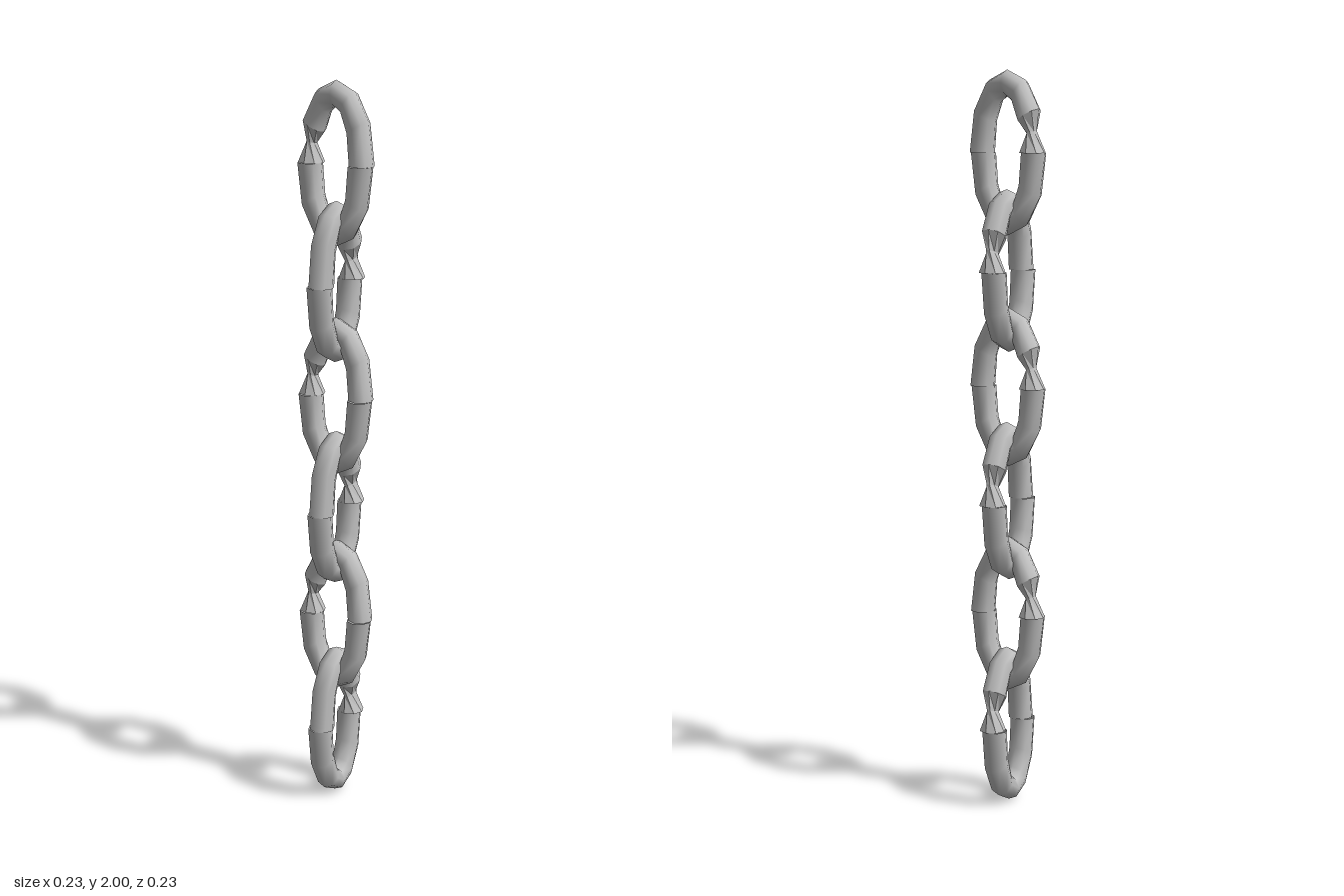
import * as THREE from 'three';

const A = 0.077, B = 0.183, R = 0.0345;  // oval centreline half-axes, bar radius
const SEG = 12, SIDES = 8, LINKS = 6;
const STEP = Math.PI * 2 / SEG;
const LOWER = 0.003, UPPER = -0.003;     // the two halves sit slightly out of line

// One cross-section of the bar at angle t on the oval, turned by twist and squashed by (sn, sz)
function ring(t, dz, twist = 0, sn = 1, sz = 1) {
  const nx = Math.cos(t), ny = Math.sin(t);
  const cx = A * nx, cy = B * Math.sign(ny) * Math.abs(ny) ** 0.9;  // slightly full shoulders
  const pts = [];
  for (let j = 0; j < SIDES; j++) {
    const p = j / SIDES * Math.PI * 2 + twist;
    const d = R * sn * Math.cos(p);
    pts.push(cx + nx * d, cy + ny * d, dz + R * sz * Math.sin(p));
  }
  return pts;
}

// Skin a list of cross-sections
function loft(rings, flat) {
  const index = [];
  for (let i = 0; i < rings.length - 1; i++) {
    for (let j = 0; j < SIDES; j++) {
      const k = (j + 1) % SIDES;
      const a = i * SIDES + j, b = a + SIDES, c = i * SIDES + k, d = c + SIDES;
      index.push(a, b, c, b, d, c);
    }
  }
  let geo = new THREE.BufferGeometry();
  geo.setAttribute('position', new THREE.Float32BufferAttribute(rings.flat(), 3));
  geo.setIndex(index);
  if (flat) geo = geo.toNonIndexed();
  geo.computeVertexNormals();
  return geo;
}

// Smooth stretch of bar from angle t over a number of segments
function arc(t, count, dz) {
  return loft(Array.from({ length: count + 1 }, (_, i) => ring(t + i * STEP, dz)), false);
}

// Twisted, pinched segment that closes the oval
function joint(sn, sz) {
  const start = Math.PI - STEP, turn = Math.PI * 0.75;
  return loft([
    ring(start, UPPER),
    ring(start + STEP / 2, UPPER, turn / 2, sn, sz),
    ring(Math.PI, UPPER, turn, 1.06, 1.06),
  ], true);
}

export function createModel() {
  const group = new THREE.Group();
  group.name = 'chain';
  const steel = new THREE.MeshStandardMaterial({ color: 0xc0c0c0, side: THREE.DoubleSide });
  steel.name = 'steel grey';

  const lower = arc(Math.PI, SEG / 2, LOWER);
  const upper = arc(0, SEG / 2 - 1, UPPER);
  const joints = [joint(0.36, 0.6), joint(0.8, 0.36)];

  // Links alternate between facing front and facing sideways
  const edge = B + R;
  for (let i = 0; i < LINKS; i++) {
    const link = new THREE.Group();
    link.name = `link${i + 1}`;
    const parts = { lowerBar: lower, upperBar: upper, twistedJoint: joints[i % 2] };
    for (const [name, geo] of Object.entries(parts)) {
      const mesh = new THREE.Mesh(geo, steel);
      mesh.name = name;
      link.add(mesh);
    }
    link.position.y = 2 - edge - i * (2 - 2 * edge) / (LINKS - 1);
    if (i % 2) link.rotation.y = -Math.PI / 2;
    group.add(link);
  }
  return group;
}
